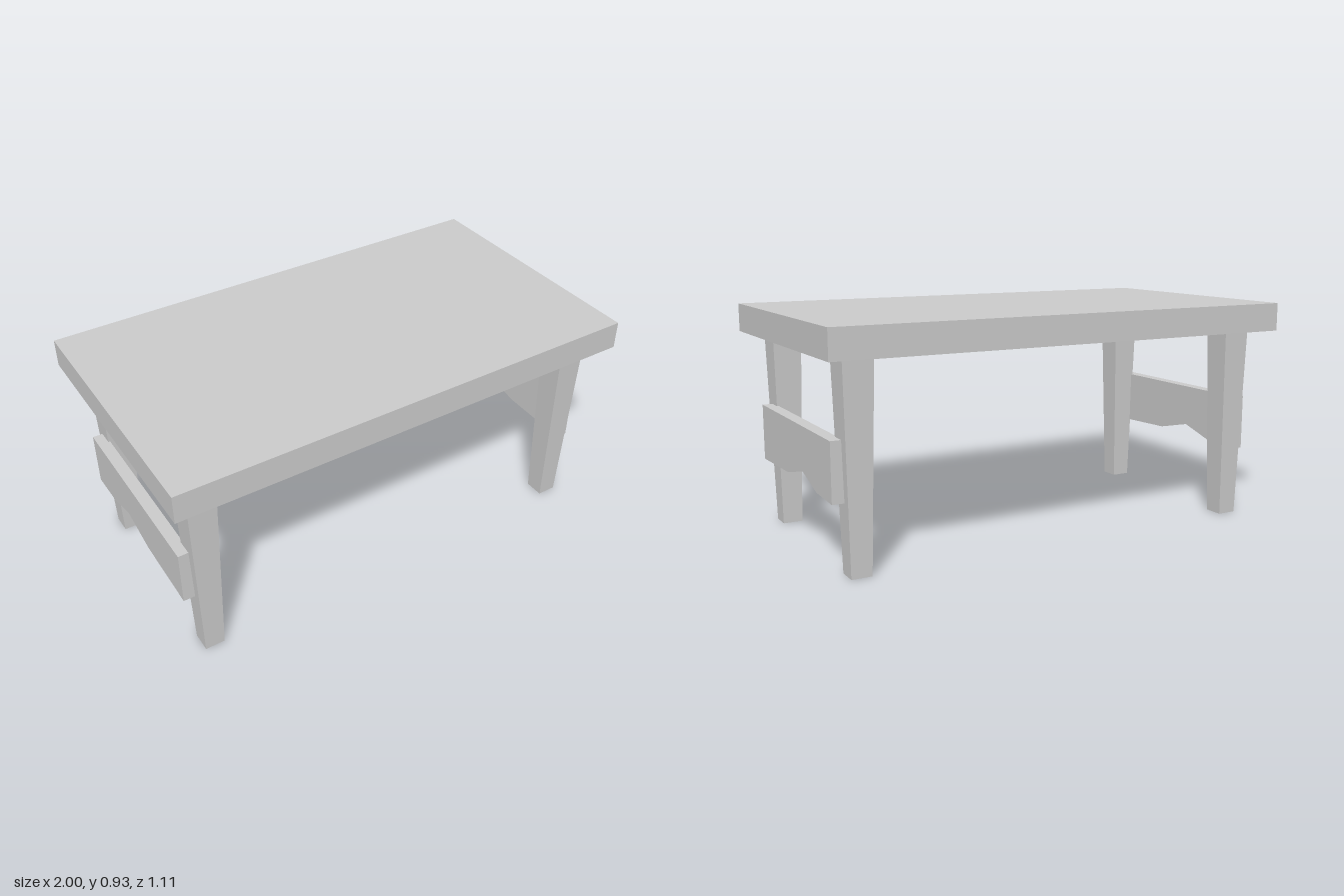
import * as THREE from 'three';

const TOP_Y = 0.93, UNDER_Y = 0.813;

export function createModel() {
  const table = new THREE.Group();
  table.name = 'table';
  const solid = new THREE.MeshStandardMaterial({ color: 0xcccccc, flatShading: true });
  const open = new THREE.MeshStandardMaterial({ color: 0xcccccc, flatShading: true, side: THREE.DoubleSide });

  function add(name, geometry, material, x, y, z) {
    const mesh = new THREE.Mesh(geometry, material);
    mesh.name = name;
    mesh.position.set(x, y, z);
    table.add(mesh);
    return mesh;
  }

  // Thick rectangular slab
  add('tabletop', new THREE.BoxGeometry(2, TOP_Y - UNDER_Y, 1.106), solid, 0, (TOP_Y + UNDER_Y) / 2, 0);

  // Square legs tapering to the floor, hollow at the foot
  const leg = new THREE.CylinderGeometry(0.06 * Math.SQRT2, 0.041 * Math.SQRT2, UNDER_Y, 4, 1, true);
  leg.rotateY(Math.PI / 4);

  // End brace with an off-centre peak cut in its lower edge, drawn as (-z, y)
  const outline = [
    [-0.413, 0.28], [-0.09, 0.291], [0.09, 0.334], [0.25, 0.287], [0.413, 0.28],
    [0.413, 0.513], [-0.413, 0.513],
  ].map(([u, y]) => new THREE.Vector2(u, y));
  const thickness = 0.05;
  const brace = new THREE.ExtrudeGeometry(new THREE.Shape(outline), { depth: thickness, bevelEnabled: false });
  brace.translate(0, 0, -thickness / 2);
  brace.rotateY(Math.PI / 2);

  for (const [side, sx] of [['left', 1], ['right', -1]]) {
    for (const [end, sz] of [['Front', 1], ['Back', -1]]) {
      add(`${side}${end}Leg`, leg, open, sx * 0.86, UNDER_Y / 2, sz * 0.402);
    }
    add(`${side}Brace`, brace, solid, sx * 0.93, 0, 0);
  }
  return table;
}
